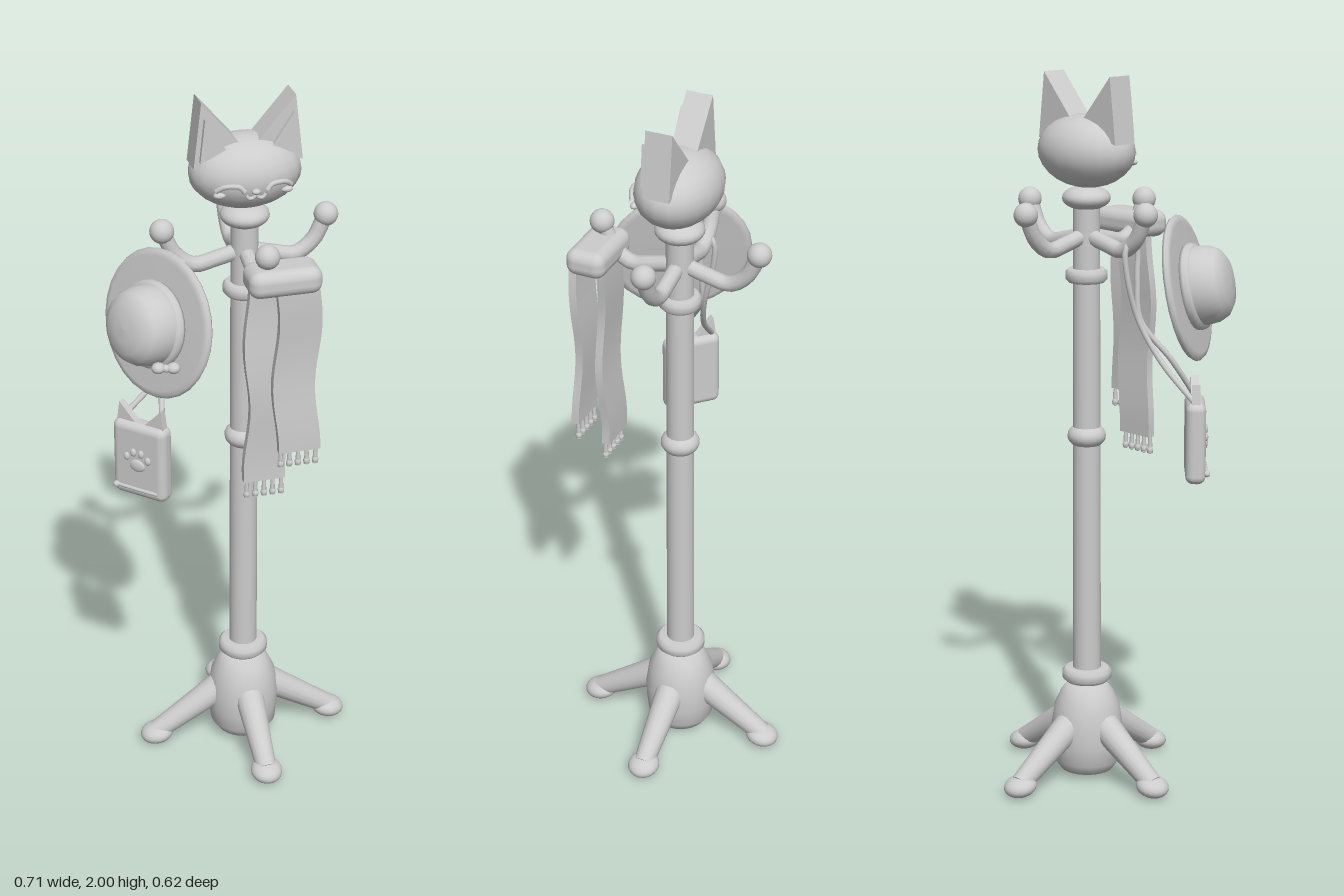
import * as THREE from 'three';
import { RoundedBoxGeometry } from 'three/addons/geometries/RoundedBoxGeometry.js';

const clay = new THREE.MeshStandardMaterial({ color: 0xcccccc });
clay.name = 'light grey';

const V = (x, y, z) => new THREE.Vector3(x, y, z);

function add(parent, name, geometry, x = 0, y = 0, z = 0) {
  const mesh = new THREE.Mesh(geometry, clay);
  mesh.name = name;
  mesh.position.set(x, y, z);
  parent.add(mesh);
  return mesh;
}

function group(parent, name, x = 0, y = 0, z = 0) {
  const g = new THREE.Group();
  g.name = name;
  g.position.set(x, y, z);
  parent.add(g);
  return g;
}

function ball(parent, name, x, y, z, rx, ry = rx, rz = rx) {
  const mesh = add(parent, name, new THREE.SphereGeometry(1, 20, 14), x, y, z);
  mesh.scale.set(rx, ry, rz);
  return mesh;
}

function tube(parent, name, points, radius, segments = 12) {
  const curve = new THREE.CatmullRomCurve3(points);
  return add(parent, name, new THREE.TubeGeometry(curve, segments, radius, 10));
}

function lathe(parent, name, profile, y = 0) {
  const points = profile.map(([r, h]) => new THREE.Vector2(r, h));
  return add(parent, name, new THREE.LatheGeometry(points, 28), 0, y, 0);
}

// Straight tapered rod between two points
function rod(parent, name, a, b, ra, rb) {
  const dir = b.clone().sub(a);
  const mesh = add(parent, name, new THREE.CylinderGeometry(rb, ra, dir.length(), 16));
  mesh.position.copy(a).addScaledVector(dir, 0.5);
  mesh.quaternion.setFromUnitVectors(V(0, 1, 0), dir.normalize());
  return mesh;
}

function prism(parent, name, points, depth, z) {
  const shape = new THREE.Shape(points.map(([x, y]) => new THREE.Vector2(x, y)));
  return add(parent, name, new THREE.ExtrudeGeometry(shape, { depth, bevelEnabled: false }), 0, 0, z);
}

function buildStand(stand) {
  add(stand, 'pole', new THREE.CylinderGeometry(0.037, 0.04, 1.45, 24), 0, 0.945, 0);
  lathe(stand, 'base', [[0, 0.02], [0.075, 0.02], [0.095, 0.05], [0.1, 0.1], [0.102, 0.15], [0.093, 0.21],
    [0.075, 0.25], [0.055, 0.275], [0, 0.275]]);
  const ring = (r, h) => [[0, -h], [r * 0.85, -h], [r, -h * 0.5], [r, h * 0.5], [r * 0.85, h], [0, h]];
  lathe(stand, 'lowerCollar', ring(0.07, 0.02), 0.302);
  ball(stand, 'middleCollar', 0, 1.0, 0, 0.054, 0.037, 0.054);
  lathe(stand, 'upperCollar', ring(0.058, 0.019), 1.452);
  ball(stand, 'neckCollar', 0, 1.665, 0, 0.067, 0.034, 0.067);

  // Four legs and four coat hooks around the pole
  for (let i = 0; i < 4; i++) {
    const side = group(stand, 'legAndHook');
    side.rotation.y = i * Math.PI / 2;
    rod(side, 'leg', V(0.05, 0.175, 0), V(0.262, 0.037, 0), 0.044, 0.029);
    const foot = ball(side, 'foot', 0.262, 0.031, 0, 0.048, 0.029, 0.045);
    foot.rotation.z = -0.15;
    tube(side, 'hookArm', [V(0.02, 1.56, 0), V(0.08, 1.545, 0), V(0.14, 1.535, 0), V(0.19, 1.57, 0),
      V(0.222, 1.635, 0)], 0.022);
    ball(side, 'hookKnob', 0.225, 1.64, 0, 0.033);
  }
}

function buildHead(stand) {
  const head = group(stand, 'catHead');
  ball(head, 'skull', 0, 1.793, 0, 0.152, 0.1, 0.112);
  for (const s of [-1, 1]) {
    prism(head, 'ear', [[s * 0.147, 1.82], [s * 0.126, 2.0], [s * 0.01, 1.865]], 0.074, -0.037);
    prism(head, 'innerEar', [[s * 0.132, 1.84], [s * 0.119, 1.957], [s * 0.062, 1.87]], 0.016, 0.034);
    // Closed smiling eye
    tube(head, 'closedEye', [V(s * 0.03, 1.776, 0.112), V(s * 0.042, 1.789, 0.109), V(s * 0.062, 1.792, 0.105),
      V(s * 0.084, 1.788, 0.097), V(s * 0.1, 1.776, 0.088)], 0.007);
    ball(head, 'cheek', s * 0.09, 1.762, 0.085, 0.017, 0.009, 0.012);
    // Half of the curled mouth
    tube(head, 'mouth', [V(0, 1.766, 0.113), V(s * 0.008, 1.758, 0.112), V(s * 0.018, 1.757, 0.111),
      V(s * 0.027, 1.766, 0.11)], 0.005);
  }
  ball(head, 'nose', 0, 1.775, 0.113, 0.012, 0.008, 0.011);
}

function buildHat(model) {
  const hat = group(model, 'hat', -0.225, 1.435, 0.12);
  hat.quaternion.setFromUnitVectors(V(0, 1, 0), V(-0.855, 0.2, 0.475).normalize());
  lathe(hat, 'brim', [[0, -0.012], [0.18, -0.012], [0.195, -0.008], [0.2, 0], [0.195, 0.008], [0.18, 0.012], [0, 0.014]]);
  lathe(hat, 'crown', [[0.108, 0.005], [0.108, 0.04], [0.104, 0.075], [0.092, 0.1], [0.068, 0.116], [0.035, 0.123], [0, 0.125]]);
  lathe(hat, 'hatBand', [[0.1, 0.01], [0.116, 0.012], [0.119, 0.022], [0.116, 0.036], [0.1, 0.04]]);
  // Small bow on the band
  ball(model, 'bowLoop', -0.252, 1.362, 0.232, 0.018, 0.015, 0.018);
  ball(model, 'bowLoop', -0.213, 1.36, 0.238, 0.018, 0.015, 0.018);
  ball(model, 'bowKnot', -0.232, 1.361, 0.237, 0.011);
}

function buildBag(model) {
  const bag = group(model, 'bag', -0.27, 1.027, 0.107);
  bag.rotation.y = -Math.PI / 4;
  add(bag, 'bagBody', new RoundedBoxGeometry(0.165, 0.225, 0.055, 4, 0.022));
  for (const s of [-1, 1]) {
    prism(bag, 'bagEar', [[s * 0.075, 0.09], [s * 0.064, 0.163], [s * 0.012, 0.108]], 0.022, -0.011);
  }
  // Paw print and lower trim
  ball(bag, 'pawPad', 0, -0.01, 0.028, 0.024, 0.018, 0.007);
  for (const [x, y] of [[-0.033, 0.012], [-0.012, 0.028], [0.012, 0.028], [0.033, 0.012]]) {
    ball(bag, 'pawToe', x, y, 0.028, 0.009, 0.012, 0.007);
  }
  tube(bag, 'bagZip', [V(-0.062, -0.083, 0.029), V(0, -0.083, 0.03), V(0.062, -0.083, 0.029)], 0.005);
  ball(bag, 'zipPull', -0.066, -0.083, 0.031, 0.009);

  // Straps gathered over the side hook
  for (const s of [-1, 1]) {
    tube(model, 'strap', [V(-0.27 + s * 0.045, 1.135, 0.107 + s * 0.045), V(-0.205, 1.24, 0.06 + s * 0.02),
      V(-0.147, 1.35, 0.015 + s * 0.004), V(-0.135, 1.46, s * 0.018), V(-0.13, 1.545, s * 0.022),
      V(-0.13, 1.565, 0)], 0.008, 24);
  }
}

// Wavy hanging end of the scarf with a tasselled hem
function scarfTail(parent, x, z, top, bottom, width, phase) {
  const tail = group(parent, 'scarfTail');
  const length = top - bottom;
  const sway = (y) => 0.008 * Math.sin((y - bottom) * 17 + phase);
  const geo = new THREE.BoxGeometry(width, length, 0.022, 4, 18, 1);
  geo.translate(x, bottom + length / 2, z);
  const p = geo.attributes.position;
  for (let i = 0; i < p.count; i++) {
    const y = p.getY(i);
    p.setX(i, p.getX(i) + sway(y));
    p.setZ(i, p.getZ(i) + 0.005 * Math.sin((y - bottom) * 13 + phase));
  }
  geo.computeVertexNormals();
  add(tail, 'scarfCloth', geo);
  for (let i = 0; i < 5; i++) {
    const fx = x + sway(bottom) + (i - 2) * width * 0.21;
    add(tail, 'fringe', new THREE.CylinderGeometry(0.005, 0.008, 0.05, 8), fx, bottom - 0.024, z);
    ball(tail, 'fringeKnot', fx, bottom - 0.04, z, 0.009, 0.012, 0.009);
  }
}

function buildScarf(model) {
  const scarf = group(model, 'scarf');
  add(scarf, 'scarfFold', new RoundedBoxGeometry(0.197, 0.075, 0.112, 4, 0.03), 0.085, 1.573, 0.217);
  scarfTail(scarf, 0.118, 0.245, 1.56, 1.075, 0.115, 1.5);
  scarfTail(scarf, 0.05, 0.205, 1.56, 0.97, 0.115, 4.2);
}

export function createModel() {
  const model = new THREE.Group();
  model.name = 'catCoatStand';
  const stand = group(model, 'stand', 0.042, 0, 0);
  buildStand(stand);
  buildHead(stand);
  buildHat(model);
  buildBag(model);
  buildScarf(model);
  return model;
}
